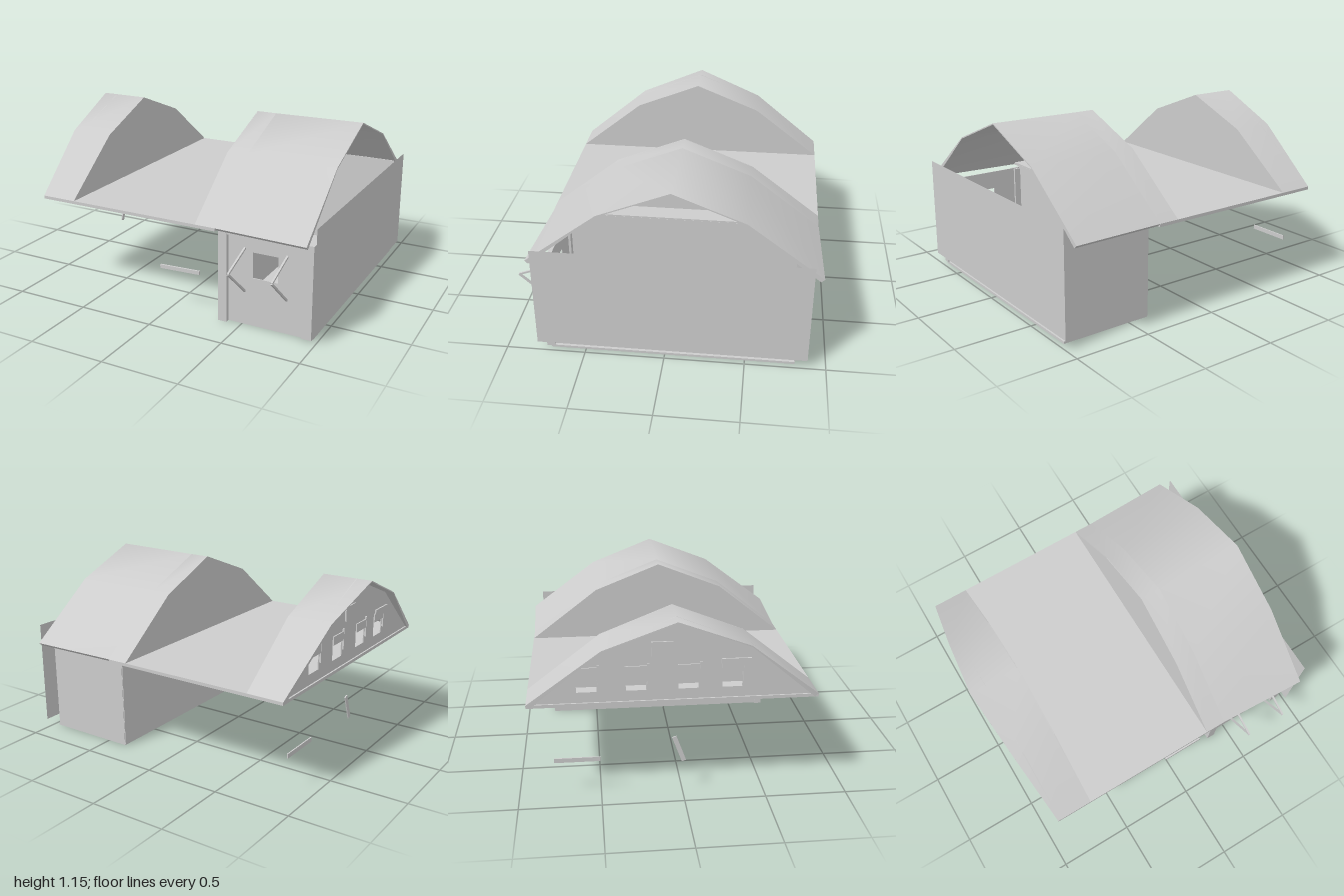
import * as THREE from 'three';
import { mergeGeometries } from 'three/addons/utils/BufferGeometryUtils.js';

export function createModel() {
  const model = new THREE.Group();
  model.name = 'gambrelBuilding';
  const grey = new THREE.MeshStandardMaterial({ color: 0xcccccc, side: THREE.DoubleSide });
  grey.name = 'plain grey';

  const add = (name, geometry) => {
    const mesh = new THREE.Mesh(geometry, grey);
    mesh.name = name;
    model.add(mesh);
    return mesh;
  };
  // Box given by its two opposite corners
  const box = (name, x0, x1, y0, y1, z0, z1) => {
    const mesh = add(name, new THREE.BoxGeometry(x1 - x0, y1 - y0, z1 - z0));
    mesh.position.set((x0 + x1) / 2, (y0 + y1) / 2, (z0 + z1) / 2);
  };
  // Square bar between two points
  const bar = (name, a, b, w, d) => {
    const p = new THREE.Vector3(...a), q = new THREE.Vector3(...b);
    const mesh = add(name, new THREE.BoxGeometry(w, d, p.distanceTo(q)));
    mesh.position.copy(p).add(q).multiplyScalar(0.5);
    mesh.lookAt(q);
  };
  // Upright wall across x, outlined by [z, y] points, with rectangular openings
  const crossWall = (name, x, points, holes = []) => {
    const outline = (list) => list.map(([z, y]) => new THREE.Vector2(-z, y));
    const shape = new THREE.Shape(outline(points));
    for (const [z0, z1, y0, y1] of holes) {
      shape.holes.push(new THREE.Path(outline([[z0, y0], [z1, y0], [z1, y1], [z0, y1]])));
    }
    const geometry = new THREE.ExtrudeGeometry(shape, { depth: 0.006, bevelEnabled: false });
    geometry.rotateY(Math.PI / 2);
    add(name, geometry).position.x = x;
  };
  // Smooth sheet between two rows of points
  const strip = (a, b) => {
    const index = [], n = a.length;
    for (let i = 0; i < n - 1; i++) index.push(i, n + i, n + i + 1, i, n + i + 1, i + 1);
    const geometry = new THREE.BufferGeometry();
    geometry.setAttribute('position', new THREE.Float32BufferAttribute([...a, ...b].flat(), 3));
    geometry.setIndex(index);
    geometry.computeVertexNormals();
    return geometry;
  };
  // Bent roof running from one outline to another, with squared-off eaves
  const roof = (name, startPoints, startX, endPoints, endX) => {
    const last = startPoints.length - 1;
    const row = (points, xs) => points.map(([z, y], i) => [xs[i], y, z]);
    const under = (points) => points.map(([z, y], i) => {
      if (i === 0) return [z - 0.022, y - 0.02];
      return i === last ? [z + 0.022, y - 0.02] : [z, y - 0.008];
    });
    const endXs = startX.map(() => endX);
    const out0 = row(startPoints, startX), out1 = row(endPoints, endXs);
    const in0 = row(under(startPoints), startX), in1 = row(under(endPoints), endXs);
    add(name, mergeGeometries([
      strip(out0, out1),
      strip(in1, in0),
      strip(in0, out0),
      strip(out1, in1),
      strip([in0[0], out0[0]], [in1[0], out1[0]]),
      strip([out0[last], in0[last]], [out1[last], in1[last]]),
    ]));
  };

  // Gambrel outlines, front eave to back eave
  const profile = [[0.815, 0.635], [0.39, 0.975], [-0.045, 1.147], [-0.48, 0.975], [-0.925, 0.635]];
  const wideProfile = [[0.845, 0.638], [0.395, 0.98], [-0.045, 1.153], [-0.485, 0.98], [-0.945, 0.638]];

  // Roofs: leaning end, short middle piece and the widening piece over the room
  roof('leaningRoof', profile, [-0.91, -0.96, -1, -0.96, -0.91], profile, -0.67);
  roof('innerRoof', profile, Array(5).fill(0.225), profile, 0.36);
  roof('roomRoof', profile, Array(5).fill(0.36), wideProfile, 0.957);

  // Loft floor
  box('loftFloor', -0.91, 0.36, 0.615, 0.635, -0.925, 0.815);

  // Walls closing the roofs; the outer gable has a row of window openings
  crossWall('leaningRoofWall', -0.676, profile);
  crossWall('innerRoofWall', 0.225, profile);
  const windows = [-0.57, -0.28, 0.03, 0.29];
  crossWall('gableWall', -0.9, profile, windows.map((z) => [z - 0.06, z + 0.06, 0.7, 0.85]));
  for (const z of windows) {
    box('gableWindowTop', -0.91, -0.902, 0.8, 0.855, z - 0.065, z + 0.065);
    box('gableWindowPost', -0.912, -0.9, 0.74, 0.87, z + 0.065, z + 0.08);
  }
  box('gableHatch', -0.91, -0.9, 0.91, 1.0, -0.19, -0.06);
  bar('gableAwning', [-0.915, 0.87, 0.22], [-0.915, 0.87, 0.4], 0.01, 0.03);

  // Room under the wide roof
  box('roomFloor', 0.36, 0.965, 0, 0.015, -0.81, 0.72);
  box('roomInnerWall', 0.355, 0.361, 0.005, 0.625, -0.81, 0.72);
  box('roomBackWall', 0.36, 0.955, 0.005, 0.7, -0.813, -0.807);
  const front = new THREE.Shape([[0.36, 0.005], [0.957, 0.005], [0.957, 0.61], [0.36, 0.61]]
    .map((p) => new THREE.Vector2(...p)));
  front.holes.push(new THREE.Path([[0.57, 0.32], [0.57, 0.487], [0.735, 0.487], [0.735, 0.32]]
    .map((p) => new THREE.Vector2(...p))));
  add('roomFrontWall', new THREE.ExtrudeGeometry(front, { depth: 0.006, bevelEnabled: false })).position.z = 0.716;

  // Paper-thin panel standing clear of the open side
  const panel = add('sidePanel', new THREE.PlaneGeometry(1.685, 0.68));
  panel.rotation.y = Math.PI / 2;
  panel.position.set(1, 0.4, -0.0425);

  // Corner posts and the beam between them
  box('cornerPost', 0.348, 0.405, 0, 0.605, 0.7, 0.75);
  box('cornerPost', 0.905, 0.967, 0.01, 0.61, 0.7, 0.75);
  bar('frontBeam', [0.405, 0.588, 0.735], [0.9, 0.597, 0.735], 0.02, 0.016);

  // Pairs of slanted struts on the front wall
  for (const x of [0.515, 0.792]) {
    bar('upperStrut', [x, 0.505, 0.72], [x, 0.422, 0.942], 0.012, 0.012);
    bar('lowerStrut', [x, 0.222, 0.72], [x, 0.422, 0.942], 0.012, 0.012);
  }

  // Loose boards below the loft floor
  bar('looseFrontBoard', [-0.05, 0.292, 0.77], [0.23, 0.302, 0.77], 0.012, 0.024);
  bar('looseUprightBoard', [-0.86, 0.2, 0.01], [-0.86, 0.365, -0.05], 0.008, 0.028);
  bar('looseLowBoard', [-0.86, 0.24, -0.78], [-0.86, 0.24, -0.5], 0.008, 0.028);

  return model;
}
